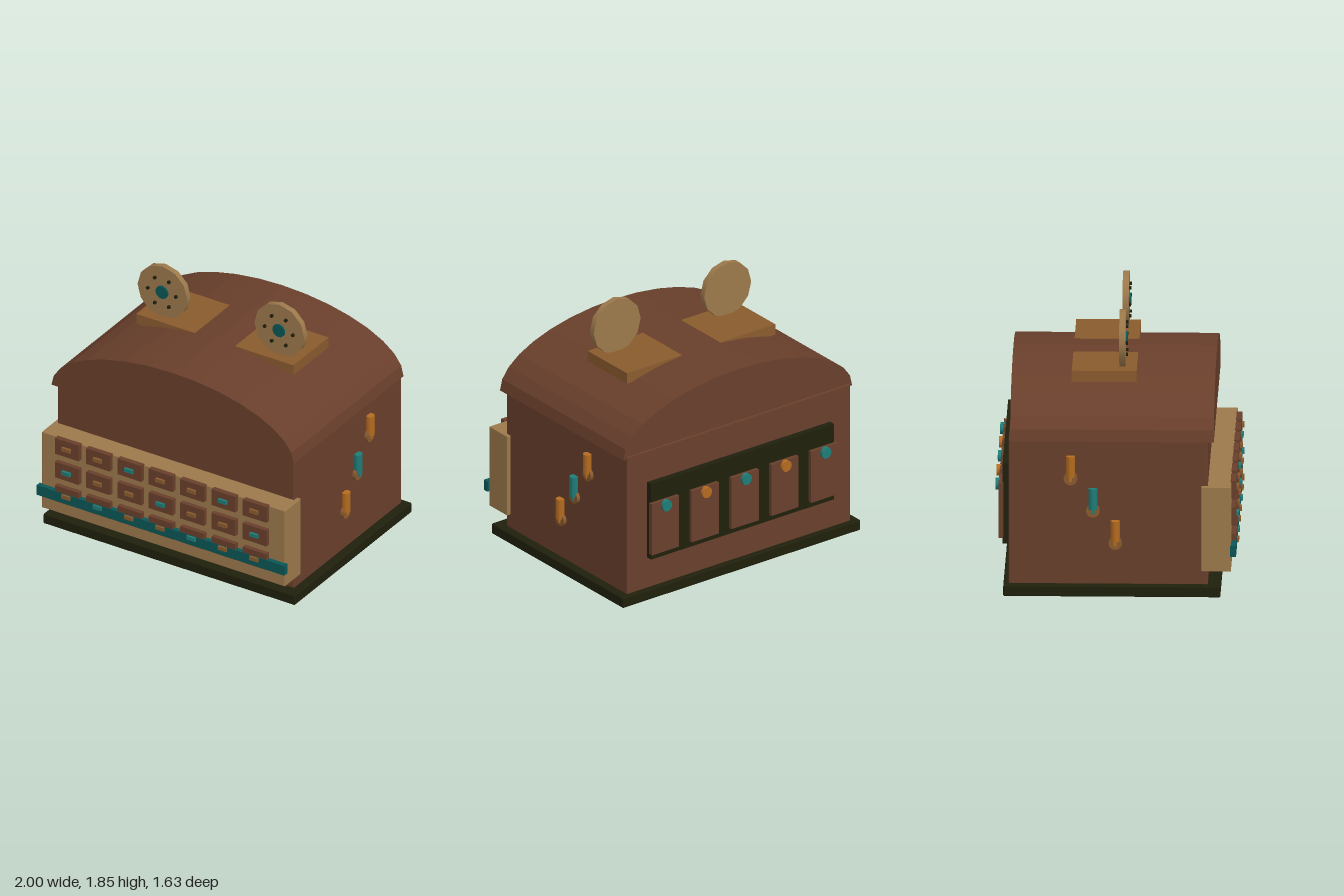
import * as THREE from 'three';
import { RoundedBoxGeometry } from 'three/addons/geometries/RoundedBoxGeometry.js';

const mat = (name, color) => {
  const m = new THREE.MeshStandardMaterial({ color });
  m.name = name;
  return m;
};

export function createModel() {
  const brown = mat('brown', 0x693f2b);
  const tan = mat('tan', 0x9c794b);
  const wood = mat('wood', 0x8a5b2e);
  const orange = mat('orange', 0xb56c20);
  const teal = mat('teal', 0x1f7d78);
  const darkTeal = mat('darkTeal', 0x0b5757);
  const dark = mat('dark', 0x20200c);

  const root = new THREE.Group();
  root.name = 'chest';

  const add = (name, geo, material, parent = root) => {
    const m = new THREE.Mesh(geo, material);
    m.name = name;
    parent.add(m);
    return m;
  };
  // box given by its minimum and maximum on each axis; bevel > 0 softens the edges
  const box = (name, [x0, x1], [y0, y1], [z0, z1], material, bevel = 0, parent = root) => {
    const s = [x1 - x0, y1 - y0, z1 - z0];
    const geo = bevel ? new RoundedBoxGeometry(...s, 2, bevel) : new THREE.BoxGeometry(...s);
    const m = add(name, geo, material, parent);
    m.position.set((x0 + x1) / 2, (y0 + y1) / 2, (z0 + z1) / 2);
    return m;
  };
  // disc with its axis along z
  const disc = (name, r, depth, sides, x, y, z, material, parent = root) => {
    const geo = new THREE.CylinderGeometry(r, r, depth, sides).rotateX(Math.PI / 2);
    const m = add(name, geo, material, parent);
    m.position.set(x, y, z);
    return m;
  };

  // base and body
  box('base', [-1, 1], [0, 0.075], [-0.755, 0.7], dark, 0.008);
  box('body', [-0.94, 0.94], [0.07, 1.09], [-0.72, 0.615], brown, 0.008);

  // arched lid, a faceted half ellipse
  const arch = new THREE.Shape();
  for (let i = 0; i <= 16; i++) {
    const a = (i / 16) * Math.PI;
    const x = 0.963 * Math.cos(a), y = 1.07 + 0.4 * Math.sin(a);
    if (i) arch.lineTo(x, y); else arch.moveTo(x, y);
  }
  arch.closePath();
  const lidGeo = new THREE.ExtrudeGeometry(arch, { depth: 1.365, bevelEnabled: false });
  add('lid', lidGeo, brown).position.z = -0.71;

  // front cabinet with drawers
  box('cabinet', [-0.967, 0.967], [0.17, 0.76], [0.57, 0.77], tan, 0.006);
  const tealHandles = [[2, 5], [0, 3, 6], [1, 4]];
  for (let r = 0; r < 3; r++) {
    for (let c = 0; c < 7; c++) {
      const x = (c - 3) * 0.249, y = 0.706 - r * 0.184;
      box('drawer', [x - 0.095, x + 0.095], [y - 0.061, y + 0.061], [0.765, 0.803], brown);
      const m = tealHandles[r].includes(c) ? teal : wood;
      box('drawerHandle', [x - 0.033, x + 0.033], [y - 0.014, y + 0.014], [0.8, 0.82], m);
    }
  }
  box('frontStrip', [-0.985, 0.985], [0.28, 0.355], [0.765, 0.805], darkTeal);

  // side levers
  for (const side of [-1, 1]) {
    [orange, teal, orange].forEach((m, i) => {
      const lever = new THREE.Group();
      lever.name = side > 0 ? 'leftLever' : 'rightLever';
      lever.position.set(side * 0.94, 0.363 + i * 0.224, -0.005 - i * 0.15);
      root.add(lever);
      const plate = add('leverPlate', new THREE.CylinderGeometry(0.046, 0.046, 0.05, 16), wood, lever);
      plate.rotation.z = Math.PI / 2;
      box('leverStem', [-0.035, 0.035], [-0.02, 0.03], [-0.01, 0.01], m, 0, lever);
      const grip = add('leverGrip', new THREE.CylinderGeometry(0.031, 0.031, 0.145, 8), m, lever);
      grip.position.set(side * 0.018, 0.083, 0);
    });
  }

  // back panel with plates and buttons
  box('backPanel', [-0.77, 0.77], [0.3, 0.86], [-0.765, -0.71], dark);
  for (let i = 0; i < 5; i++) {
    const x = (i - 2) * 0.335;
    box('backPlate', [x - 0.115, x + 0.115], [0.345, 0.725], [-0.792, -0.76], brown);
    disc('backButton', 0.04, 0.03, 12, x, 0.69, -0.8, i % 2 ? orange : teal);
  }

  // wheels on roof blocks
  for (const side of [-1, 1]) {
    const cx = side * 0.465, cy = 1.652;
    const block = box('roofBlock', [0.16, 0.625], [1.39, 1.467], [-0.305, 0.13], wood);
    block.position.x *= side;
    disc('wheel', 0.198, 0.042, 12, cx, cy, 0.034, tan);
    disc('wheelHub', 0.048, 0.03, 14, cx, cy, 0.052, darkTeal);
    for (let k = 0; k < 6; k++) {
      const a = (k * Math.PI) / 3;
      disc('wheelPeg', 0.012, 0.03, 8, cx + 0.112 * Math.cos(a), cy + 0.112 * Math.sin(a), 0.055, dark);
    }
  }

  return root;
}
